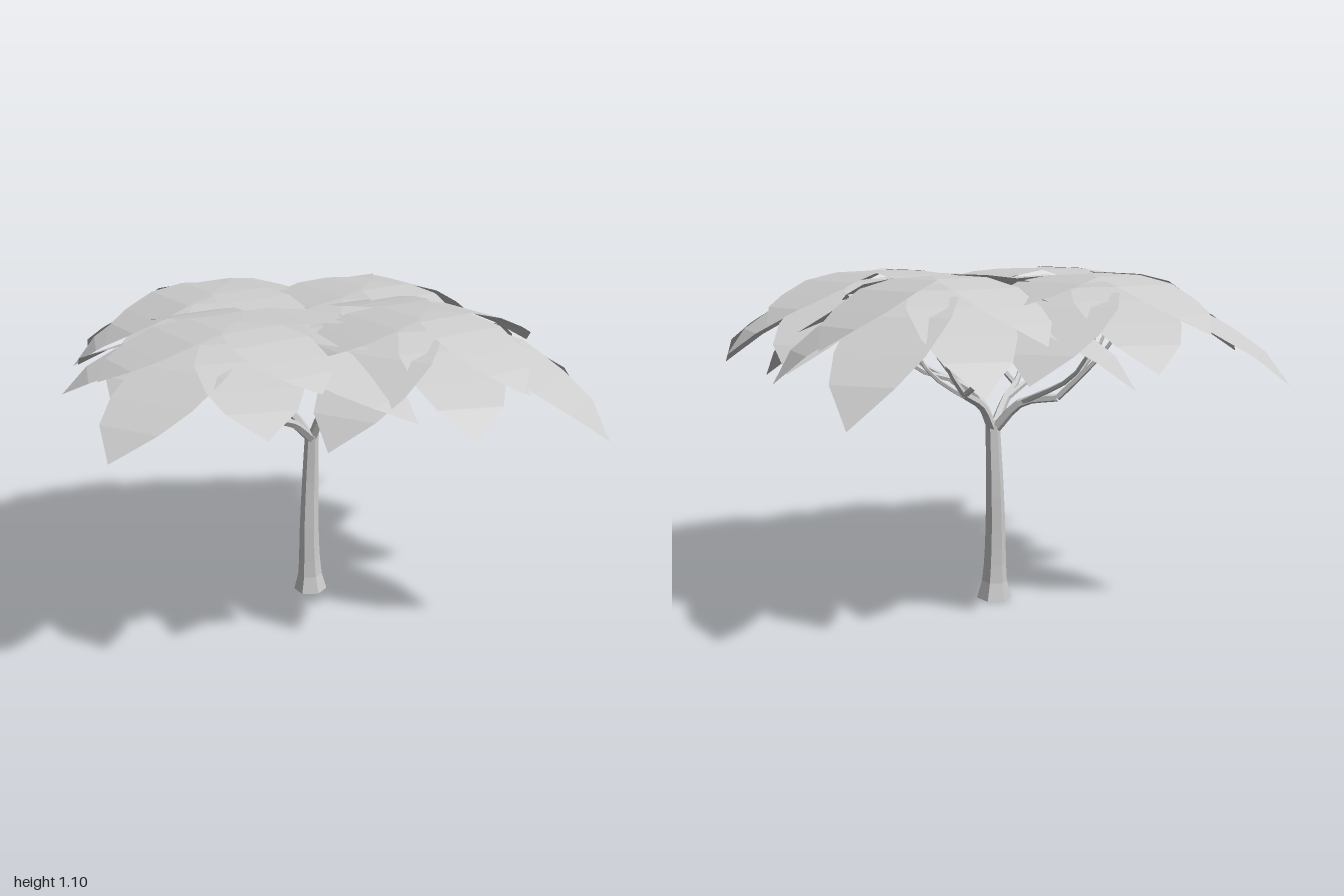
import * as THREE from 'three';

const V = (p) => new THREE.Vector3(...p);
const bark = new THREE.MeshStandardMaterial({ color: 0xcccccc, flatShading: true });
const foliage = new THREE.MeshStandardMaterial({ color: 0xcccccc, flatShading: true, side: THREE.DoubleSide });

// Tapered tube through a few points; radiusAt maps 0..1 along it to a radius
function limb(name, points, radiusAt, sides, steps) {
  const curve = new THREE.CatmullRomCurve3(points.map(V));
  const geo = new THREE.TubeGeometry(curve, steps, 1, sides, false);
  const pos = geo.attributes.position;
  const v = new THREE.Vector3();
  for (let i = 0; i < pos.count; i++) {
    const t = Math.floor(i / (sides + 1)) / steps;
    const c = curve.getPointAt(t);
    v.fromBufferAttribute(pos, i).sub(c).multiplyScalar(radiusAt(t)).add(c);
    pos.setXYZ(i, v.x, v.y, v.z);
  }
  geo.computeVertexNormals();
  const mesh = new THREE.Mesh(geo, bark);
  mesh.name = name;
  return mesh;
}

// Leaf stations: fraction of length, fraction of drop, half width
const STATIONS = [
  [0, 0, 0.03], [0.22, 0.04, 0.12], [0.45, 0.19, 0.155],
  [0.68, 0.46, 0.14], [0.85, 0.68, 0.1], [1, 1, 0],
];

// Drooping leaf: flat across, bent downward along its length
function leaf(length, width, drop, angle) {
  const geo = new THREE.PlaneGeometry(1, 1, 1, STATIONS.length - 1);
  STATIONS.forEach(([t, d, w], i) => {
    geo.attributes.position.setXYZ(2 * i, -w * width, -d * drop, t * length);
    geo.attributes.position.setXYZ(2 * i + 1, w * width, -d * drop, t * length);
  });
  geo.computeVertexNormals();
  const mesh = new THREE.Mesh(geo, foliage);
  mesh.name = 'leaf';
  mesh.rotation.y = angle;
  return mesh;
}

// Three stacked layers of four leaves
const LAYERS = [
  { length: 0.62, width: 1, drop: 0.29, y: 1.04, turns: [0, 90, 180, 270] },
  { length: 0.52, width: 1, drop: 0.24, y: 1.055, turns: [43, 133, 217, 311] },
  { length: 0.45, width: 0.87, drop: 0.17, y: 1.085, turns: [66, 154, 246, 333] },
];

// Leaves facing outward droop fully, those facing the tree's middle droop less
function leafCluster(x, z, droop, outward) {
  const group = new THREE.Group();
  group.name = 'leafCluster';
  group.position.set(x, 0, z);
  for (const { length, width, drop, y, turns } of LAYERS) {
    turns.forEach((turn, i) => {
      const inward = (1 - Math.cos(THREE.MathUtils.degToRad(turn - outward))) / 2;
      const sag = drop * droop * (1 - 0.65 * inward * inward);
      const l = leaf(length, width, sag, THREE.MathUtils.degToRad(turn));
      l.position.y = y + 0.003 * i;
      group.add(l);
    });
  }
  return group;
}

export function createModel() {
  const tree = new THREE.Group();
  tree.name = 'tree';

  // Trunk with flared foot
  const trunkRadius = (t) => 0.024 + 0.016 * (1 - t) + 0.018 * Math.pow(1 - t, 14);
  tree.add(limb('trunk', [[-0.055, 0, -0.1], [-0.06, 0.2, -0.1], [-0.06, 0.4, -0.107], [-0.053, 0.59, -0.107]], trunkRadius, 6, 10));
  const foot = new THREE.Mesh(new THREE.CircleGeometry(0.057, 6), bark);
  foot.name = 'trunkBase';
  foot.rotation.x = Math.PI / 2;
  foot.position.set(-0.055, 0.001, -0.1);
  tree.add(foot);

  // Main branches, one towards each leaf cluster
  const fork = [-0.053, 0.57, -0.107];
  const branches = [
    { path: [fork, [-0.15, 0.67, -0.1], [-0.27, 0.69, -0.09]], to: [-0.47, -0.06] },
    { path: [fork, [0.0, 0.67, -0.09], [0.11, 0.73, -0.07]], to: [0.36, -0.06] },
    { path: [fork, [-0.05, 0.66, 0.02], [-0.05, 0.70, 0.12]], to: [-0.04, 0.37] },
    { path: [fork, [-0.04, 0.66, -0.17], [-0.02, 0.71, -0.27]], to: [0.015, -0.42] },
  ];
  for (const { path, to } of branches) {
    tree.add(limb('branch', path, (t) => 0.018 - 0.005 * t, 5, 6));
    // Twigs fan out from the branch end and from its middle
    const end = path[2];
    const dx = to[0] - end[0], dz = to[1] - end[2];
    const len = Math.hypot(dx, dz);
    for (const [side, reach, top] of [[0, 1, 0.96], [0.13, 0.75, 0.95], [-0.13, 0.75, 0.95]]) {
      const sx = (-dz / len) * side, sz = (dx / len) * side;
      const start = side > 0 ? path[1] : end;
      tree.add(limb('twig', [
        start,
        [end[0] + dx * 0.4 * reach + sx * 0.7, 0.77, end[2] + dz * 0.4 * reach + sz * 0.7],
        [end[0] + dx * 0.8 * reach + sx, 0.86, end[2] + dz * 0.8 * reach + sz],
        [end[0] + dx * reach + sx * 1.2, top, end[2] + dz * reach + sz * 1.2],
      ], (t) => 0.011 - 0.007 * t, 5, 7));
    }
  }

  // Four leaf clusters: left, right, back, front
  const clusters = [[0.38, -0.06, 1, 90], [-0.38, -0.06, 1, 270], [0.015, -0.38, 1.18, 180], [-0.05, 0.375, 0.75, 0]];
  for (const c of clusters) tree.add(leafCluster(...c));
  return tree;
}
